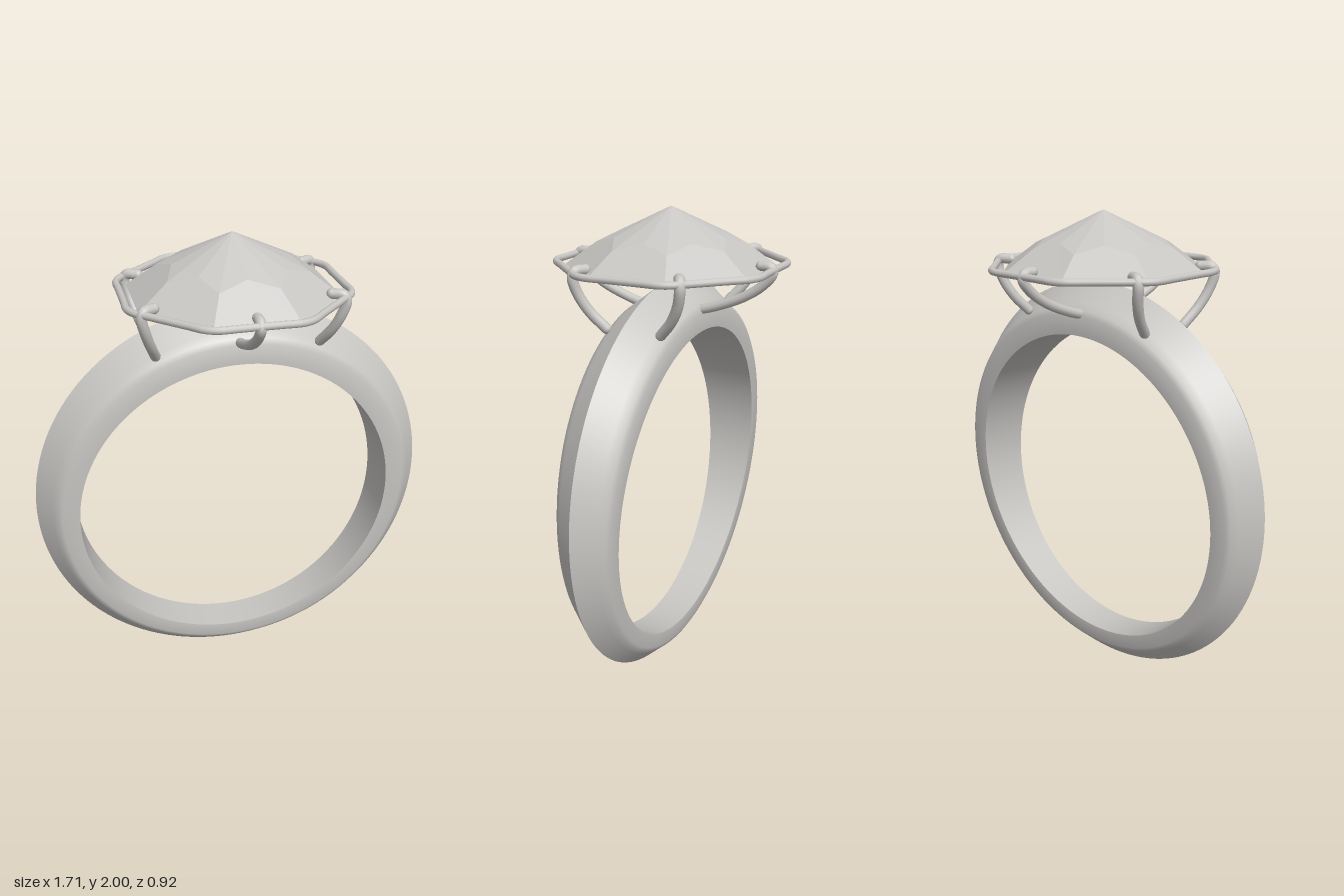
import * as THREE from 'three';
import { toCreasedNormals } from 'three/addons/utils/BufferGeometryUtils.js';

const metal = new THREE.MeshStandardMaterial({ color: 0xc8c6c3 });
metal.name = 'silver metal';
const V = (x, y, z) => new THREE.Vector3(x, y, z);

function addMesh(parent, name, geometry) {
  const mesh = new THREE.Mesh(geometry, metal);
  mesh.name = name;
  parent.add(mesh);
  return mesh;
}

// Knife-edge band: thicker and wider at the top than at the bottom.
// Profile points are [depth from outer to inner circle, fraction of half width].
function bandGeometry() {
  const half = [[0.37, 0.7], [0.48, 0.91], [0.59, 1], [1, 0.98]];
  const profile = [[0, 0], ...half, ...half.map(([t, f]) => [t, -f]).reverse()];
  const n = profile.length, segments = 128;
  const positions = [], index = [];
  for (let i = 0; i < segments; i++) {
    const a = (i / segments) * Math.PI * 2;
    const halfWidth = 0.1125 + 0.0325 * Math.cos(a);
    for (const [t, f] of profile) {
      const r = THREE.MathUtils.lerp(0.855, 0.683, t);
      const cy = THREE.MathUtils.lerp(0.855, 0.822, t);
      positions.push(r * Math.sin(a), cy + r * Math.cos(a), f * halfWidth);
    }
    const next = (i + 1) % segments;
    for (let j = 0; j < n; j++) {
      const k = (j + 1) % n;
      const p = i * n + j, q = i * n + k, s = next * n + j, u = next * n + k;
      index.push(p, q, s, q, u, s);
    }
  }
  const g = new THREE.BufferGeometry();
  g.setAttribute('position', new THREE.Float32BufferAttribute(positions, 3));
  g.setIndex(index);
  return toCreasedNormals(g, 0.9);
}

// Octagonal stone: kite facets around the point, eight five-sided facets below, flat base.
function gemGeometry() {
  const step = Math.PI / 4, base = 1.765;
  const at = (r, y, k) => V(r * Math.cos(k * step), y, r * Math.sin(k * step));
  const apex = V(0, 2, 0), center = V(0, base, 0);
  const points = [];
  for (let k = 0; k < 8; k++) {
    const mid = at(0.24, 1.887, k), midNext = at(0.24, 1.887, k + 1);
    const inner = at(0.303, 1.857, k + 0.5), innerPrev = at(0.303, 1.857, k - 0.5);
    const outer = at(0.433, base, k + 0.5), outerPrev = at(0.433, base, k - 0.5);
    points.push(
      apex, inner, mid,
      apex, midNext, inner,
      mid, inner, outer,
      mid, outer, outerPrev,
      mid, outerPrev, innerPrev,
      center, outerPrev, outer,
    );
  }
  const g = new THREE.BufferGeometry().setFromPoints(points);
  g.computeVertexNormals();
  return g;
}

// Eight-sided wire rail with softened corners.
function railGeometry() {
  const points = [];
  for (let k = 0; k < 8; k++) {
    const a = (k * Math.PI) / 4;
    for (const s of [-0.155, -0.08, 0, 0.08, 0.155]) {
      points.push(V(0.44 * Math.cos(a) - s * Math.sin(a), 1.78, 0.44 * Math.sin(a) + s * Math.cos(a)));
    }
  }
  return new THREE.TubeGeometry(new THREE.CatmullRomCurve3(points, true), 200, 0.0145, 10, true);
}

// Claw prong: curved wire from the band up over the rail, with rounded ends.
function addProng(parent, name, points, radius) {
  const prong = new THREE.Group();
  prong.name = name;
  const curve = new THREE.CatmullRomCurve3(points);
  addMesh(prong, 'prongWire', new THREE.TubeGeometry(curve, 40, radius, 12));
  for (const [end, label] of [[points[0], 'prongFoot'], [points[points.length - 1], 'prongTip']]) {
    addMesh(prong, label, new THREE.SphereGeometry(radius, 12, 8)).position.copy(end);
  }
  parent.add(prong);
}

export function createModel() {
  const ring = new THREE.Group();
  ring.name = 'ring';
  addMesh(ring, 'band', bandGeometry());
  addMesh(ring, 'gemstone', gemGeometry());

  const setting = new THREE.Group();
  setting.name = 'setting';
  addMesh(setting, 'rail', railGeometry());
  for (const z of [1, -1]) {
    const end = z > 0 ? 'front' : 'back';
    // Middle prong sweeping out from the shoulder of the band
    addProng(setting, end + 'MiddleProng', [
      V(0, 1.59, 0.115 * z), V(0, 1.615, 0.2 * z), V(0, 1.665, 0.32 * z), V(0, 1.72, 0.4 * z),
      V(0, 1.77, 0.438 * z), V(0, 1.79, 0.425 * z), V(0, 1.793, 0.385 * z),
    ], 0.02);
    // Corner prongs
    for (const x of [1, -1]) {
      addProng(setting, end + (x > 0 ? 'Left' : 'Right') + 'Prong', [
        V(0.335 * x, 1.565, 0.118 * z), V(0.36 * x, 1.63, 0.175 * z), V(0.383 * x, 1.7, 0.212 * z),
        V(0.397 * x, 1.765, 0.226 * z), V(0.388 * x, 1.788, 0.221 * z), V(0.345 * x, 1.79, 0.198 * z),
      ], 0.021);
    }
  }
  ring.add(setting);
  return ring;
}
